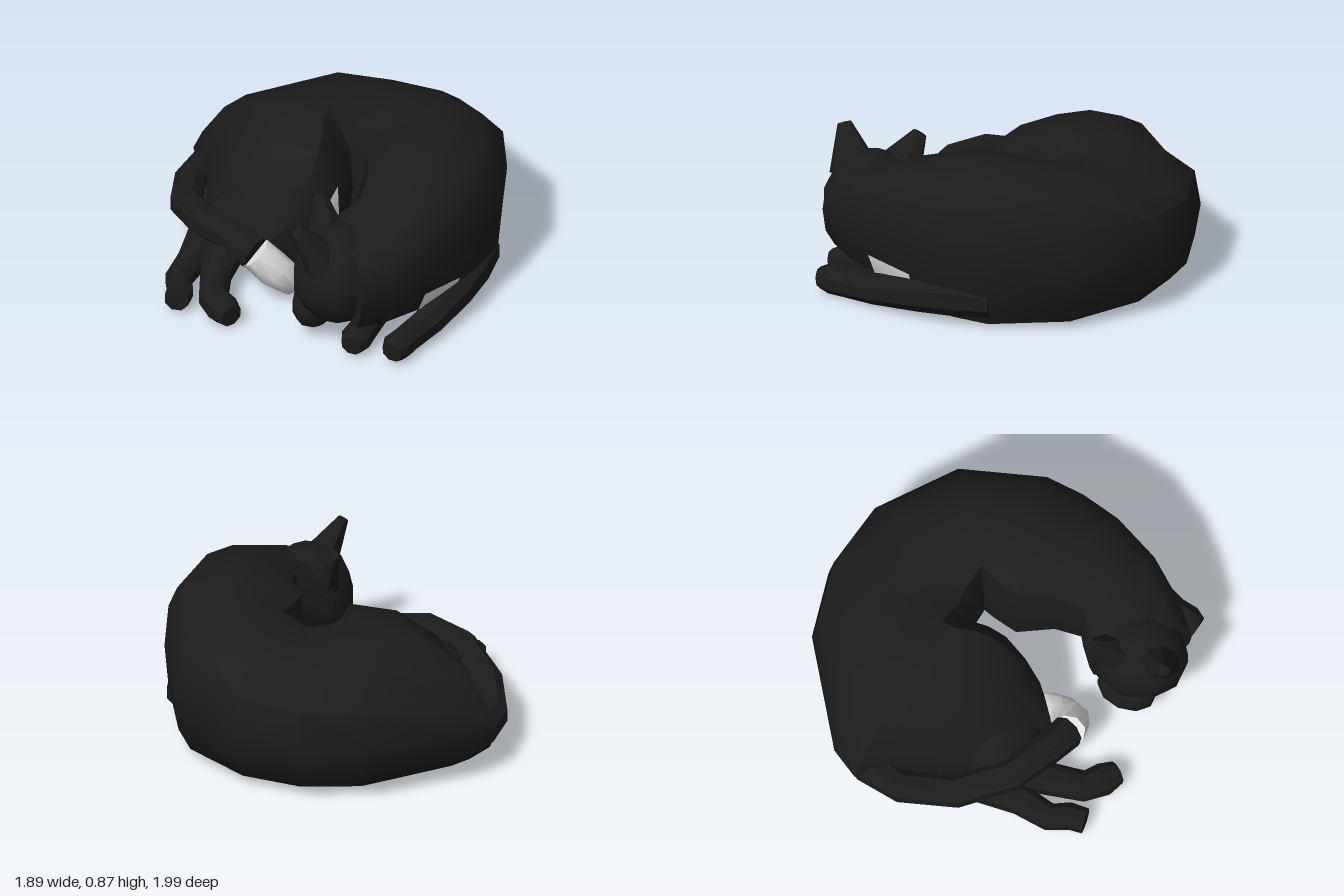
import * as THREE from 'three';
import { toCreasedNormals } from 'three/addons/utils/BufferGeometryUtils.js';

const black = new THREE.MeshStandardMaterial({ color: 0x1c1c1c });
black.name = 'blackFur';
const white = new THREE.MeshStandardMaterial({ color: 0xe2e2e2 });
white.name = 'whiteFur';
const V = (x, y, z) => new THREE.Vector3(x, y, z);

// Closed skin over rings of points; isWhite(ring, side) picks the faces of the white fur
function loft(rings, isWhite = () => false) {
  const n = rings[0].length, last = rings.length - 1;
  const pos = [], faces = [[], []];
  rings.flat().forEach(p => pos.push(p.x, p.y, p.z));
  for (let i = 0; i < last; i++) {
    for (let j = 0; j < n; j++) {
      const k = (j + 1) % n;
      const a = i * n + j, b = i * n + k, c = b + n, d = a + n;
      faces[isWhite(i, j) ? 1 : 0].push(a, b, c, a, c, d);
    }
  }
  for (const i of [0, last]) {
    const centre = rings[i].reduce((s, p) => s.add(p), V(0, 0, 0)).divideScalar(n);
    const m = pos.length / 3;
    pos.push(centre.x, centre.y, centre.z);
    for (let j = 0; j < n; j++) {
      const a = i * n + j, b = i * n + (j + 1) % n;
      faces[0].push(m, ...(i ? [a, b] : [b, a]));
    }
  }
  const geo = new THREE.BufferGeometry();
  geo.setAttribute('position', new THREE.Float32BufferAttribute(pos, 3));
  geo.setIndex([...faces[0], ...faces[1]]);
  geo.addGroup(0, faces[0].length, 0);
  geo.addGroup(faces[0].length, faces[1].length, 1);
  return toCreasedNormals(geo, 0.75);
}

// Limb or tail: rows of [x, y, z, radius]
function limb(rows, sides = 8) {
  const pts = rows.map(r => V(r[0], r[1], r[2]));
  const rings = pts.map((p, i) => {
    const t = pts[Math.min(i + 1, pts.length - 1)].clone().sub(pts[Math.max(i - 1, 0)]).normalize();
    const side = V(0, 1, 0).cross(t).normalize();
    const up = t.clone().cross(side);
    return Array.from({ length: sides }, (_, j) => {
      const a = (j + 0.5) / sides * Math.PI * 2;
      const q = p.clone().addScaledVector(side, Math.cos(a) * rows[i][3]);
      q.addScaledVector(up, Math.sin(a) * rows[i][3]);
      q.y = Math.max(q.y, 0.005);
      return q;
    });
  });
  return loft(rings);
}

// Body sections as (across, up): 0 is the inside of the curl, 1 the outside
const backSection = [[.1, 0], [.6, 0], [.84, .06], [.96, .2], [1, .45], [.96, .73],
  [.75, .9], [.48, .99], [.2, 1], [0, .95], [-.12, .5], [-.05, .15]];
const shoulderSection = [[.15, 0], [.6, 0], [.88, .02], [.97, .22], [1, .5], [.97, .78],
  [.84, .93], [.55, 1], [.26, .95], [.06, .84], [0, .5], [.04, .2]];
const haunchSection = [[.12, 0], [.6, 0], [.84, .05], [.96, .14], [1, .3], [.94, .47],
  [.8, .75], [.5, .96], [.16, 1], [.01, .7], [0, .4], [.03, .18]];

// Stations round the curl: inner x, z, outer x, z, bottom, top,
// blend from haunch (-1) through back (0) to shoulder (1)
const stations = [
  [-.04, .28, -.25, .47, .08, .38, -1],
  [.02, .18, -.48, .36, .03, .55, -1],
  [.06, .05, -.67, .12, .02, .7, -1],
  [.06, -.05, -.78, -.16, .02, .77, -1],
  [.05, -.13, -.94, -.4, .03, .78, -1],
  [.04, -.2, -.85, -.56, .02, .78, -.9],
  [.05, -.23, -.33, -.93, .01, .76, -.1],
  [.13, -.24, .04, -1, .01, .73, 0],
  [.2, -.22, .42, -.92, .01, .77, 0],
  [.27, -.19, .8, -.58, .01, .84, .4],
  [.2, -.1, .94, -.1, .01, .88, 1],
  [.17, .04, .93, .12, .02, .88, 1],
  [.26, .23, .88, .35, .1, .85, 1],
  [.28, .39, .77, .62, .16, .78, .9],
  [.2, .45, .64, .81, .16, .7, .9],
  [.11, .52, .51, .95, .18, .64, 1],
];

function ellipsoid(x, y, z, rx, ry, rz) {
  const geo = new THREE.SphereGeometry(1, 10, 7);
  geo.scale(rx, ry, rz);
  geo.translate(x, y, z);
  return geo;
}

// Flattened blunt cone from the skull to the tip
function ear(base, tip) {
  const dir = tip.clone().sub(base);
  const geo = new THREE.CylinderGeometry(0.04, 0.14, dir.length(), 7);
  geo.scale(0.75, 1, 1);
  geo.applyQuaternion(new THREE.Quaternion().setFromUnitVectors(V(0, 1, 0), dir.clone().normalize()));
  const mid = base.clone().add(tip).multiplyScalar(0.5);
  geo.translate(mid.x, mid.y, mid.z);
  return toCreasedNormals(geo, 0.6);
}

export function createModel() {
  const cat = new THREE.Group();
  cat.name = 'sleepingCat';
  const add = (name, geo, mat = black) => {
    const mesh = new THREE.Mesh(geo, mat);
    mesh.name = name;
    cat.add(mesh);
  };

  // Curled body, with white belly, breast and inner flank
  const rings = stations.map(([ix, iz, ox, oz, y0, y1, blend]) => {
    const target = blend < 0 ? haunchSection : shoulderSection;
    return backSection.map(([u, v], j) => {
      const across = THREE.MathUtils.lerp(u, target[j][0], Math.abs(blend));
      const up = THREE.MathUtils.lerp(v, target[j][1], Math.abs(blend));
      return V(ix + (ox - ix) * across, y0 + (y1 - y0) * up, iz + (oz - iz) * across);
    });
  });
  add('body', loft(rings, (i, j) =>
    (i >= 6 && i <= 12 && j === 11) || (i >= 8 && i <= 12 && j === 0) ||
    (i >= 9 && i <= 12 && j === 1) || (i === 12 && j === 2) || (i <= 1 && j === 9)), [black, white]);
  add('chest', ellipsoid(.59, .15, .29, .13, .13, .15), white);

  // Head tucked down, facing the tail
  add('head', ellipsoid(.3, .41, .73, .255, .28, .275));
  add('muzzle', ellipsoid(.16, .19, .72, .12, .14, .17));
  add('leftEar', ear(V(.25, .56, .86), V(.14, .765, .945)));
  add('rightEar', ear(V(.2, .55, .62), V(.12, .755, .52)));

  // Tail wrapped round the haunch, white at the end
  add('tail', limb([[-.83, .21, -.38, .1], [-.87, .21, -.15, .09], [-.79, .26, .14, .09],
    [-.61, .34, .38, .09], [-.4, .36, .5, .09], [-.24, .31, .555, .095]]));
  add('tailTip', limb([[-.24, .31, .555, .095], [-.14, .21, .53, .1], [-.08, .11, .45, .085],
    [-.06, .07, .36, .065], [-.05, .06, .29, .035]]), white);

  // Hind legs
  add('haunch', ellipsoid(-.4, .24, .22, .28, .21, .22));
  add('hock', ellipsoid(-.62, .11, -.2, .24, .1, .3));
  add('rightHindLeg', limb([[-.66, .12, .15, .1], [-.64, .11, .45, .085], [-.66, .09, .63, .075],
    [-.61, .09, .73, .075], [-.6, .09, .82, .07]]));
  add('leftHindLeg', limb([[-.5, .15, .3, .12], [-.47, .12, .55, .09], [-.42, .09, .73, .085],
    [-.34, .09, .81, .09], [-.27, .08, .86, .065]]));

  // Forelegs
  add('leftForeleg', limb([[.83, .17, -.12, .1], [.82, .17, .1, .125], [.81, .14, .32, .105],
    [.76, .1, .58, .085], [.7, .085, .76, .08], [.68, .09, .85, .085], [.67, .08, .91, .06]]));
  add('rightForeleg', limb([[.48, .14, .2, .09], [.46, .12, .5, .09], [.45, .09, .75, .08],
    [.445, .09, .86, .085], [.44, .08, .92, .06]]));
  return cat;
}
